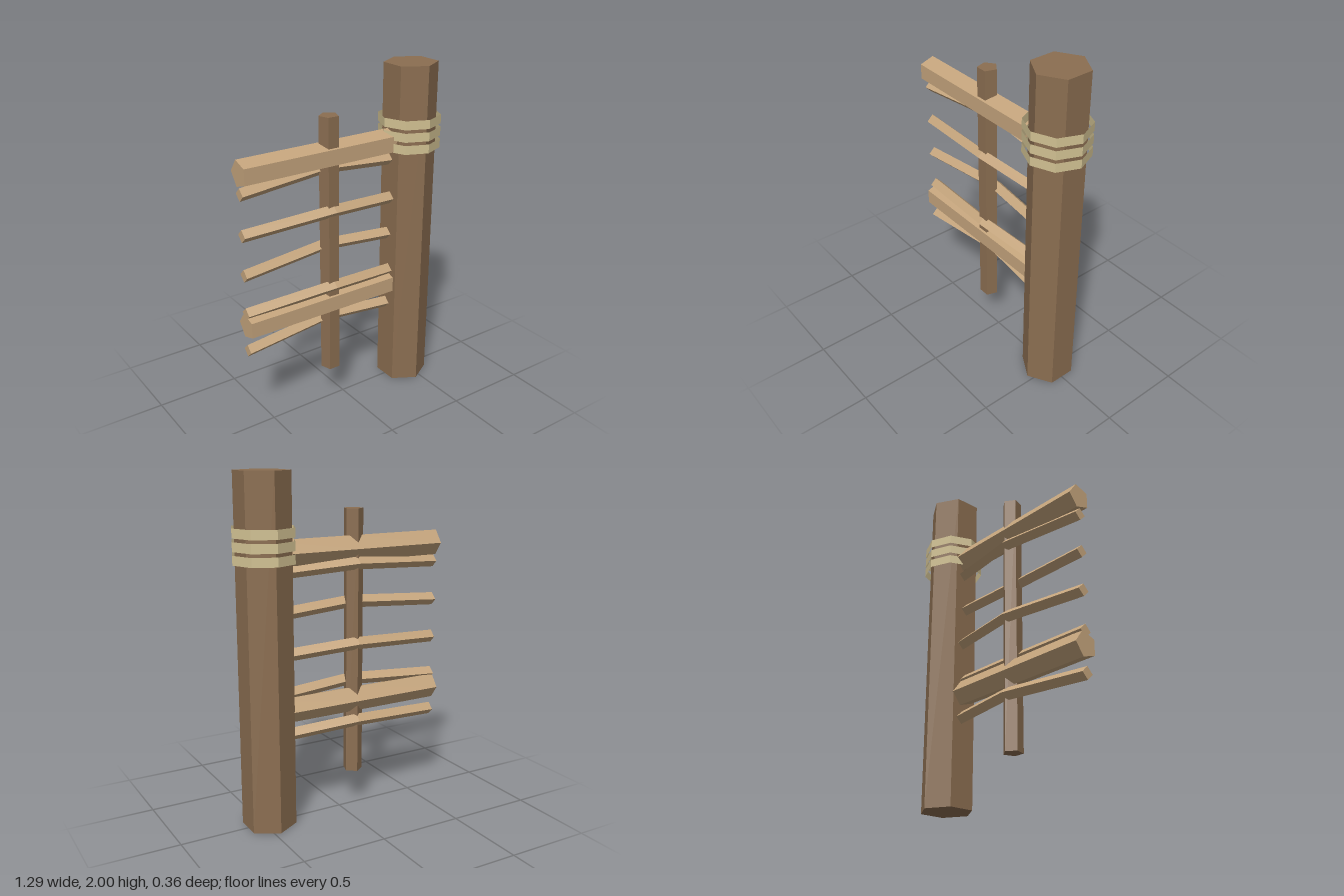
import * as THREE from 'three';

const mat = (name, color, extra = {}) => {
  const m = new THREE.MeshStandardMaterial({ color, flatShading: true, ...extra });
  m.name = name;
  return m;
};

export function createModel() {
  const darkWood = mat('darkWood', 0x8b6e51);
  const lightWood = mat('lightWood', 0xc4a47c);
  const rope = mat('rope', 0xd2c293, { side: THREE.DoubleSide });
  const group = new THREE.Group();
  group.name = 'fenceSection';

  const POST_X = 0.465, STAKE_X = -0.092, LEFT_X = -0.647, AXIS_Z = -0.004;

  const add = (name, geometry, material, x, y, z) => {
    const mesh = new THREE.Mesh(geometry, material);
    mesh.name = name;
    mesh.position.set(x, y, z);
    group.add(mesh);
  };

  // Horizontal bar from the free end to the middle of the post, with a kink at its centre
  const length = POST_X - LEFT_X;
  const bar = (radius, sides, start, rise = 0, push = 0) => {
    const g = new THREE.CylinderGeometry(radius, radius, length, sides, 2, false, start);
    g.rotateZ(Math.PI / 2);
    const p = g.attributes.position;
    for (let i = 0; i < p.count; i++) {
      const k = 1 - Math.abs(p.getX(i)) / (length / 2);
      p.setY(i, p.getY(i) + rise * k);
      p.setZ(i, p.getZ(i) + push * k);
    }
    g.computeVertexNormals();
    return g;
  };
  const barX = (LEFT_X + POST_X) / 2;

  // Large hexagonal post
  add('post', new THREE.CylinderGeometry(0.155, 0.155, 2, 6), darkWood, POST_X, 1, 0);

  // Pentagonal stake, point to the back
  add('stake', new THREE.CylinderGeometry(0.0573, 0.0573, 1.559, 5, 1, false, Math.PI),
    darkWood, STAKE_X, 1.0025, 0);

  // Two pentagonal rails, flat side to the front
  for (const y of [1.56, 0.67]) add('rail', bar(0.077, 5, Math.PI), lightWood, barX, y, AXIS_Z);

  // Slats woven alternately behind and in front of the stake
  for (let i = 0; i < 5; i++) {
    const push = i % 2 ? 0.042 : -0.042;
    add('slat', bar(0.0375, 4, 0, 0.03, push), lightWood, barX, 1.448 - i * 0.2333, AXIS_Z);
  }

  // Open rope bindings around the post
  for (let i = 0; i < 3; i++) {
    add('binding', new THREE.CylinderGeometry(0.18, 0.18, 0.052, 8, 1, true),
      rope, POST_X, 1.68 - i * 0.071, 0);
  }

  return group;
}
